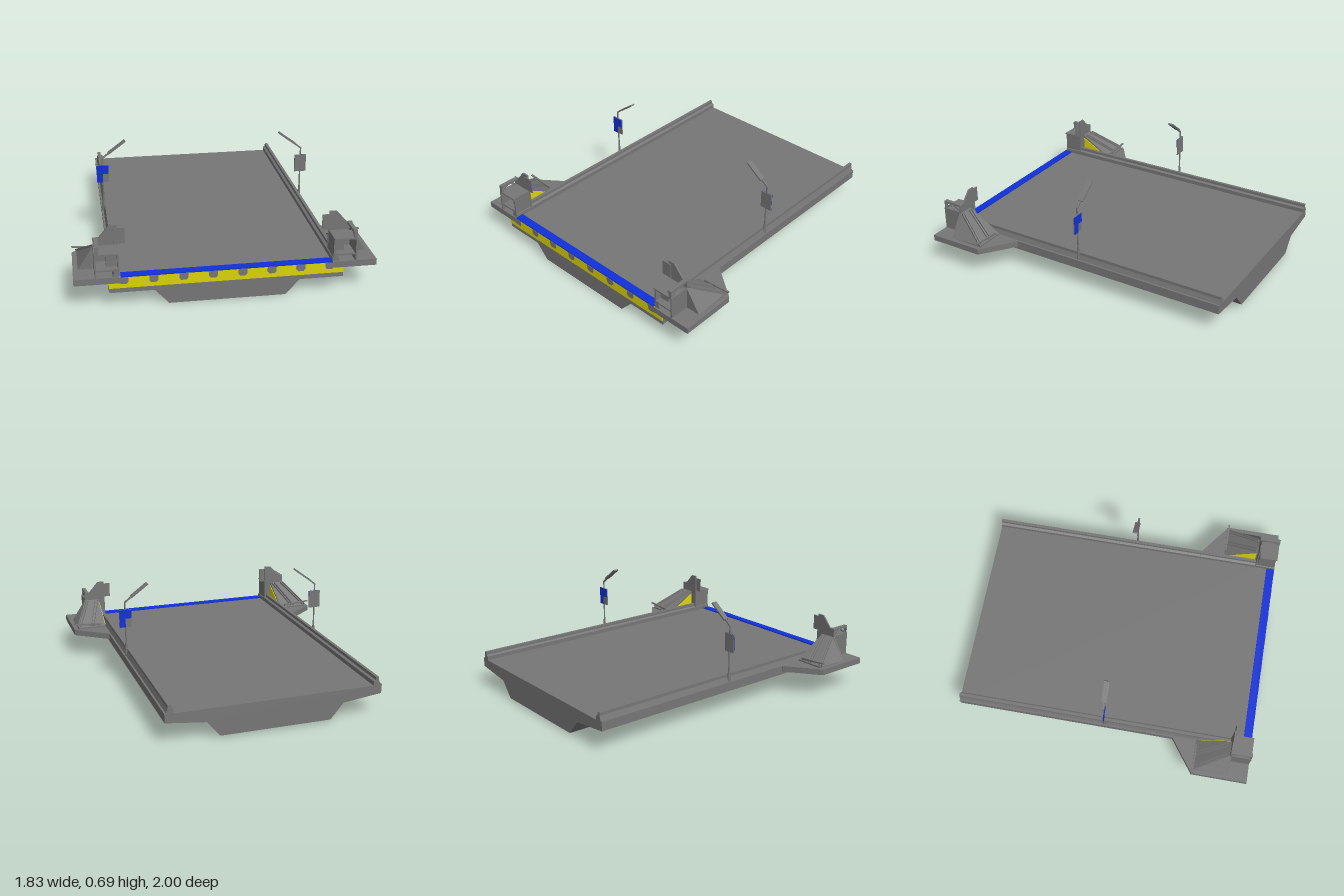
import * as THREE from 'three';
import { ConvexGeometry } from 'three/addons/geometries/ConvexGeometry.js';

const mat = (name, color) => {
  const m = new THREE.MeshStandardMaterial({ color });
  m.name = name;
  return m;
};

export function createModel() {
  const model = new THREE.Group();
  model.name = 'bridgeLeaf';
  const gray = mat('steelGray', 0x777777);
  const yellow = mat('warningYellow', 0xdcd40c);
  const blue = mat('signalBlue', 0x1030d8);

  const add = (parent, name, geo, m = gray) => {
    const mesh = new THREE.Mesh(geo, m);
    mesh.name = name;
    parent.add(mesh);
    return mesh;
  };
  // Box given by its extents
  const box = (parent, name, x0, x1, y0, y1, z0, z1, m) => {
    const g = new THREE.BoxGeometry(Math.abs(x1 - x0), y1 - y0, z1 - z0);
    g.translate((x0 + x1) / 2, (y0 + y1) / 2, (z0 + z1) / 2);
    return add(parent, name, g, m);
  };
  const extrude = (pts, depth) => new THREE.ExtrudeGeometry(
    new THREE.Shape(pts.map(p => new THREE.Vector2(...p))), { depth, bevelEnabled: false });
  // Profile in x,y drawn out along z
  const alongZ = (pts, z0, z1) => extrude(pts, z1 - z0).translate(0, 0, z0);
  // Plan in x,z drawn up along y
  const upY = (pts, y0, y1) =>
    extrude(pts.map(([x, z]) => [x, -z]), y1 - y0).rotateX(-Math.PI / 2).translate(0, y0, 0);
  // Square bar between two points
  const bar = (parent, name, a, b, w, h, m) => {
    const p = new THREE.Vector3(...a), q = new THREE.Vector3(...b);
    const mesh = add(parent, name, new THREE.BoxGeometry(w, h, p.distanceTo(q)), m);
    mesh.position.copy(p).add(q).multiplyScalar(0.5);
    mesh.lookAt(q);
    return mesh;
  };
  const mirrored = half => [...half, ...half.map(([x, y]) => [-x, y]).reverse()];

  // Deck with the trapezoid hull below, and the slightly larger end beam
  add(model, 'deckHull', alongZ(mirrored([[0.695, 0.195], [0.695, 0.14], [0.44, 0.11], [0.355, 0.01]]), -1, 0.955));
  add(model, 'endBeam', alongZ(mirrored([[0.71, 0.197], [0.71, 0.095], [0.44, 0.095], [0.355, 0]]), 0.955, 0.992));

  // Yellow end plate with gray locking teeth, and the blue joint strip
  box(model, 'endPlate', -0.71, 0.71, 0.125, 0.198, 0.99, 0.996, yellow);
  for (let i = 0; i < 8; i++) {
    const x = -0.622 + i * 0.1777;
    add(model, 'lockTooth', alongZ([[x - 0.027, 0.197], [x - 0.027, 0.167], [x - 0.016, 0.153],
      [x + 0.016, 0.153], [x + 0.027, 0.167], [x + 0.027, 0.197]], 0.995, 1));
  }
  box(model, 'jointStrip', -0.64, 0.64, 0.196, 0.203, 0.943, 0.998, blue);

  for (const s of [-1, 1]) {
    const side = new THREE.Group();
    side.name = s > 0 ? 'leftSide' : 'rightSide';
    model.add(side);
    const X = pts => pts.map(([x, ...r]) => [s * x, ...r]);
    const sbox = (name, x0, x1, ...r) => box(side, name, s * x0, s * x1, ...r);

    // Stepped parapet along the deck edge
    add(side, 'parapet', alongZ(X([[0.64, 0.19], [0.64, 0.222], [0.655, 0.23], [0.655, 0.25],
      [0.675, 0.25], [0.675, 0.23], [0.685, 0.2], [0.697, 0.2], [0.697, 0.19]]), -1, 0.99));

    // Foot platform widening around the gate tower
    add(side, 'footPlatform', upY(X([[0.645, 0.47], [0.7, 0.47], [0.915, 0.63], [0.915, 1], [0.645, 1]]), 0.16, 0.2));

    // Sloping buttress behind the tower, with rims and a yellow inner face
    const buttress = X([[0.69, 0.2, 0.86], [0.885, 0.2, 0.86], [0.885, 0.2, 0.63], [0.69, 0.2, 0.63],
      [0.69, 0.345, 0.86], [0.785, 0.345, 0.86], [0.885, 0.21, 0.63], [0.69, 0.21, 0.63]]);
    add(side, 'buttress', new ConvexGeometry(buttress.map(p => new THREE.Vector3(...p))));
    for (const [xa, xb] of [[0.7, 0.775], [0.72, 0.795], [0.772, 0.87], [0.788, 0.888]])
      bar(side, 'buttressRim', [s * xa, 0.342, 0.845], [s * xb, 0.216, 0.635], 0.007, 0.014);
    const face = extrude([[-0.85, 0.21], [-0.65, 0.21], [-0.85, 0.325]], 0.005).rotateY(Math.PI / 2);
    face.translate(s > 0 ? 0.684 : -0.689, 0, 0);
    add(side, 'buttressFace', face, yellow);

    // Thin blade reaching over the platform edge
    add(side, 'edgeBlade', alongZ(X([[0.72, 0.215], [0.915, 0.234], [0.915, 0.242], [0.72, 0.23]]), 0.628, 0.64));

    // Tower back plate
    add(side, 'towerPlate', alongZ(X([[0.64, 0.2], [0.885, 0.2], [0.79, 0.345], [0.79, 0.4],
      [0.755, 0.4], [0.69, 0.475], [0.645, 0.475]]), 0.858, 0.868));

    // Open-fronted cabin
    sbox('cabinOuterWall', 0.78, 0.79, 0.2, 0.345, 0.868, 0.998);
    sbox('cabinInnerWall', 0.645, 0.655, 0.2, 0.345, 0.868, 0.99);
    sbox('cabinRoof', 0.645, 0.79, 0.34, 0.35, 0.868, 0.998);
    sbox('cabinBox', 0.655, 0.72, 0.25, 0.34, 0.868, 0.95);
    sbox('cabinFloor', 0.655, 0.78, 0.235, 0.245, 0.868, 0.99);

    // Roof rail on slanted struts
    sbox('roofRail', 0.76, 0.785, 0.385, 0.4, 0.868, 0.998);
    bar(side, 'roofStrut', [s * 0.775, 0.35, 0.99], [s * 0.775, 0.39, 0.93], 0.012, 0.01);
    bar(side, 'roofStrut', [s * 0.775, 0.35, 0.875], [s * 0.775, 0.39, 0.93], 0.012, 0.01);
    sbox('roofPost', 0.765, 0.785, 0.35, 0.39, 0.988, 0.998);

    // Signal panel facing the roadway
    sbox('signalPanel', 0.6, 0.665, 0.358, 0.457, 0.866, 0.874);

    // Street lamp
    const lamp = new THREE.Group();
    lamp.name = 'lamp';
    side.add(lamp);
    const x = 0.68 * s;
    add(lamp, 'lampBase', new THREE.CylinderGeometry(0.006, 0.011, 0.1, 8).translate(x, 0.245, 0));
    add(lamp, 'lampPole', new THREE.CylinderGeometry(0.005, 0.005, 0.375, 8).translate(x, 0.385, 0));
    bar(lamp, 'lampArm', [x, 0.57, 0], [s * 0.62, 0.617, 0], 0.01, 0.01);
    bar(lamp, 'lampHead', [s * 0.64, 0.603, 0], [s * 0.525, 0.688, 0], 0.036, 0.011);

    // Road sign: blue on the face turned to traffic, gray elsewhere
    box(lamp, 'signBoard', x - 0.04, x + 0.04, 0.4, 0.52, -0.004, 0.004);
    const z0 = s < 0 ? 0.004 : -0.007;
    box(lamp, 'signTop', x - 0.04, x + 0.04, 0.46, 0.52, z0, z0 + 0.003, blue);
    box(lamp, 'signOuterHalf', x, x + s * 0.04, 0.4, 0.46, z0, z0 + 0.003, blue);
  }
  return model;
}
